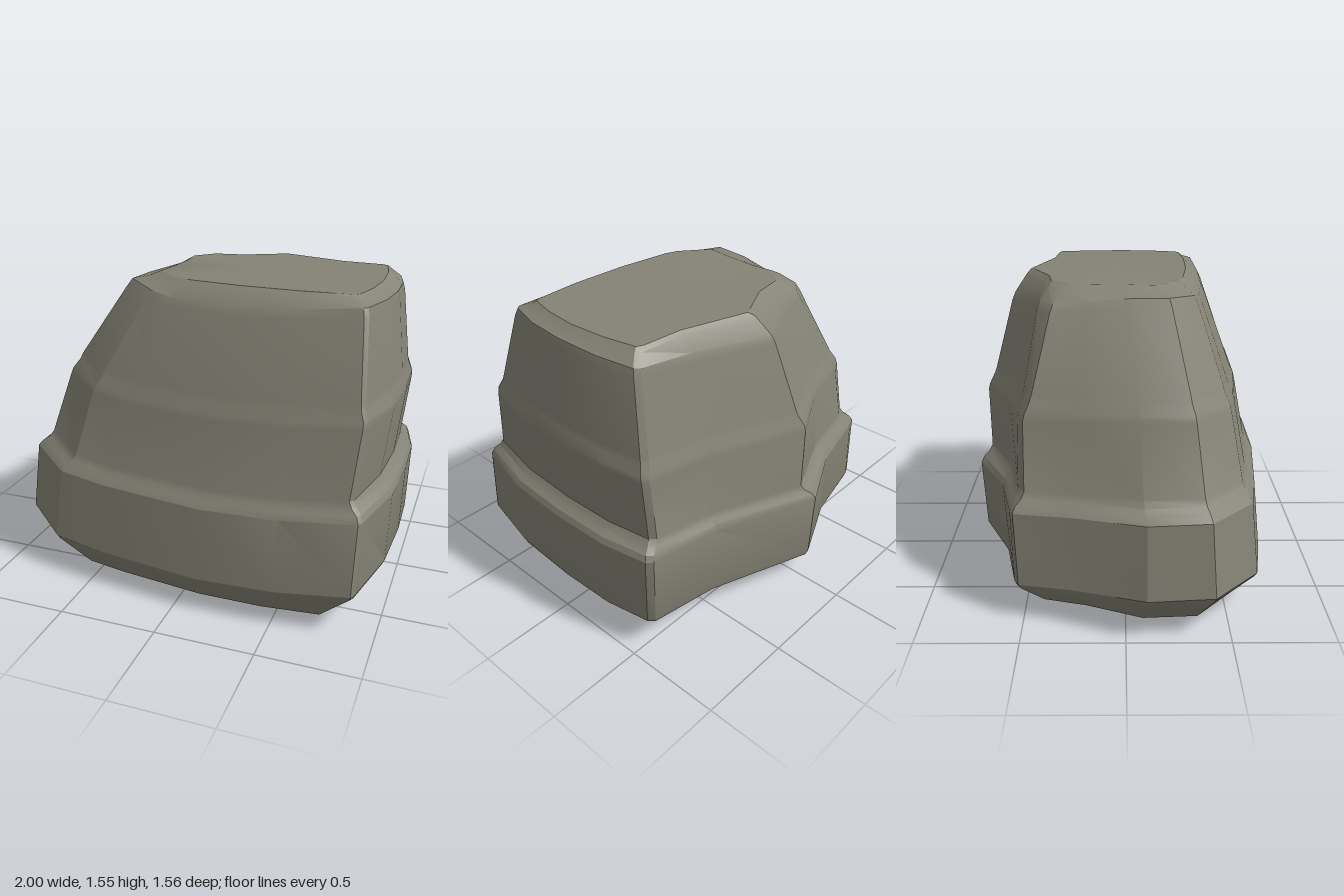
import * as THREE from 'three';
import { toCreasedNormals } from 'three/addons/utils/BufferGeometryUtils.js';

// Rock columns: widest outline (x, z) and the matching point of the top plateau (x, z)
const COLUMNS = [
  [-0.98, 0.42, -0.29, 0.16], [-1.0, 0.1, -0.27, 0.0], [-0.86, -0.25, -0.26, -0.15],
  [-0.79, -0.52, -0.27, -0.27], [-0.74, -0.545, -0.18, -0.365], [-0.38, -0.62, -0.02, -0.39],
  [-0.04, -0.775, 0.2, -0.5], [0.52, -0.59, 0.54, -0.4], [0.9, -0.555, 0.75, -0.385],
  [0.93, -0.53, 0.78, -0.37], [0.98, -0.3, 0.81, -0.2], [0.99, 0, 0.82, 0],
  [0.975, 0.35, 0.8, 0.18], [0.895, 0.705, 0.765, 0.31], [0.88, 0.73, 0.74, 0.325],
  [0.52, 0.765, 0.5, 0.34], [0.12, 0.765, 0.2, 0.33], [-0.43, 0.7, -0.08, 0.295],
  [-0.71, 0.65, -0.15, 0.27],
];

// Strata: height, then how far the left, right, front and back have moved towards the plateau
const LEVELS = [
  [0.165, 0.02, 0.06, 0.03, 0.04],
  [0.19, 0, 0, 0, 0],
  [0.555, 0.06, -0.06, 0.09, -0.07],
  [0.585, 0.1, 0.02, 0.13, -0.02],
  [0.61, 0.15, 0.22, 0.18, 0.08],
  [0.64, 0.18, 0.33, 0.21, 0.14],
  [0.97, 0.34, 0.12, 0.36, 0.13],
  [1.0, 0.355, 0.12, 0.38, 0.16],
  [1.05, 0.41, 0.24, 0.44, 0.25],
  [1.08, 0.43, 0.27, 0.46, 0.29],
  [1.44, 0.77, 0.5, 0.765, 0.63],
  [1.48, 0.81, 0.56, 0.81, 0.69],
  [1.53, 0.93, 0.85, 0.94, 0.92],
  [1.55, 1, 1, 1, 1],
];

const { lerp, smoothstep } = THREE.MathUtils;

// Cross-section of the rock at one level; the strata lines undulate slightly
function strataRing([y, left, right, front, back]) {
  return COLUMNS.map(([x, z, topX, topZ]) => {
    const tx = lerp(left, right, smoothstep(x, -0.5, 0.5));
    const tz = lerp(back, front, smoothstep(z, -0.4, 0.4));
    const wave = y < 1.5 ? 0.055 * (x * x - 0.5) + 0.02 * z : 0;
    return [lerp(x, topX, tx), y + wave, lerp(z, topZ, tz)];
  });
}

// Undercut foot: the widest outline drawn inwards
function footRing(y, scale) {
  return COLUMNS.map(([x, , , ], i) => {
    const z = COLUMNS[i][1];
    return [x * scale, y, z * (z > 0 ? scale + 0.03 : scale - 0.02)];
  });
}

function rockGeometry() {
  const rings = [footRing(0, 0.785), footRing(0.012, 0.81), ...LEVELS.map(strataRing)];
  const n = COLUMNS.length;
  const positions = rings.flat(2);
  const index = [];

  // Sides
  for (let r = 0; r < rings.length - 1; r++) {
    for (let i = 0; i < n; i++) {
      const j = (i + 1) % n;
      const a = r * n + i, b = r * n + j, c = b + n, d = a + n;
      index.push(a, d, c, a, c, b);
    }
  }

  // Flat underside and plateau
  const last = (rings.length - 1) * n;
  const bottom = rings.length * n;
  positions.push(0.02, 0, 0, 0.25, 1.55, -0.05);
  for (let i = 0; i < n; i++) {
    const j = (i + 1) % n;
    index.push(bottom, i, j, bottom + 1, last + j, last + i);
  }

  const geometry = new THREE.BufferGeometry();
  geometry.setAttribute('position', new THREE.Float32BufferAttribute(positions, 3));
  geometry.setIndex(index);
  return toCreasedNormals(geometry, 0.42);
}

export function createModel() {
  const stone = new THREE.MeshStandardMaterial({ color: 0x858375 });
  stone.name = 'stone';

  const rock = new THREE.Mesh(rockGeometry(), stone);
  rock.name = 'layeredRock';

  const model = new THREE.Group();
  model.name = 'rock';
  model.add(rock);
  return model;
}
